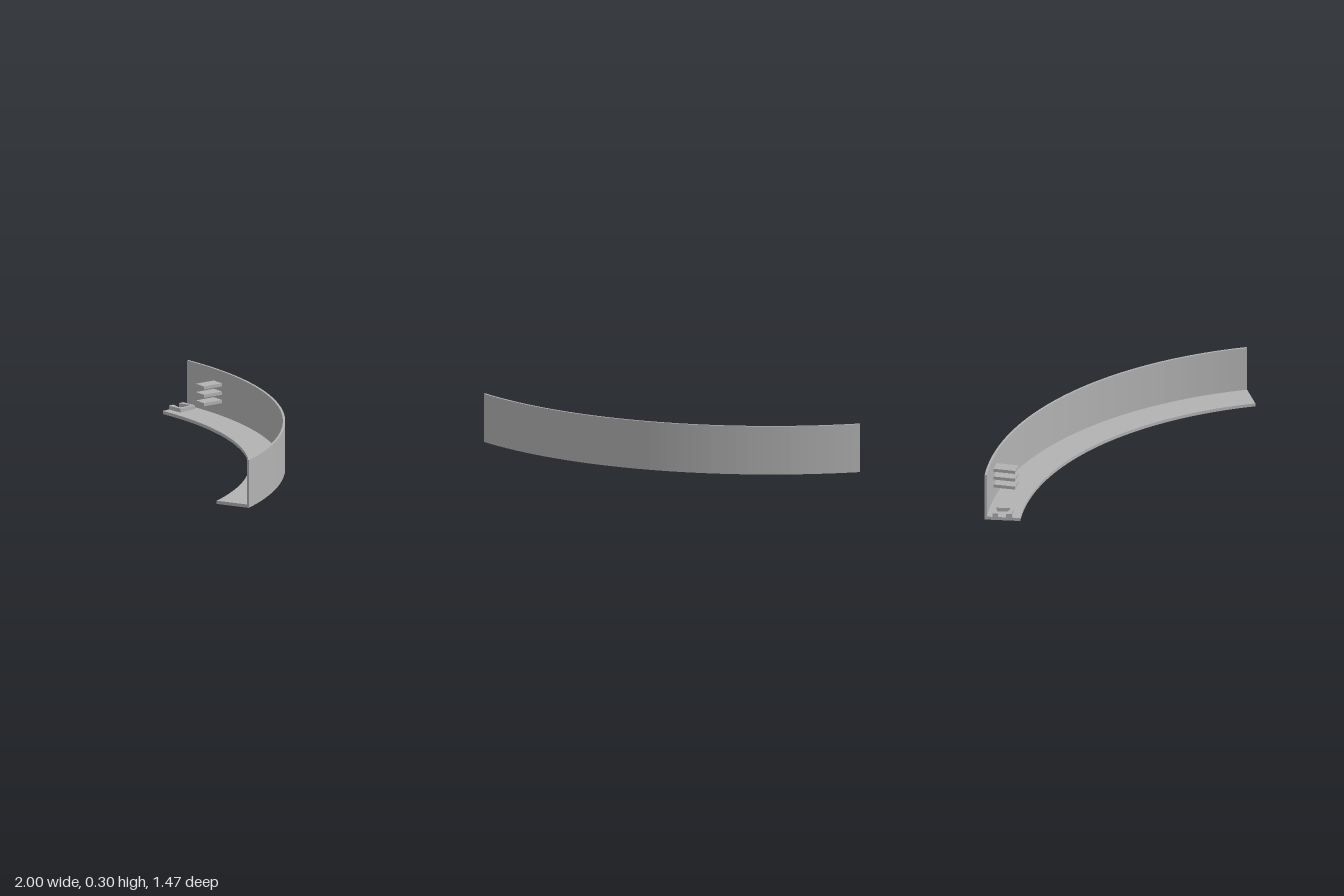
import * as THREE from 'three';

// Plan of the curve: arcs share one centre and sweep 70 degrees
const CX = -1, CZ = 1.3905, SWEEP = THREE.MathUtils.degToRad(70), SEGMENTS = 48;
const R_OUT = 2.128, R_WALL = 2.114, R_IN = 1.91;

const grey = new THREE.MeshStandardMaterial({ color: 0xb2b2b2 });
grey.name = 'plain grey';

// Point on the plan at a radius and angle measured from the back (-z) towards +x
const onArc = (r, a) => [CX + r * Math.sin(a), CZ - r * Math.cos(a)];

// Upright prism from a plan outline of [x, z] points
function prism(name, outline, y0, y1) {
  const shape = new THREE.Shape(outline.map(([x, z]) => new THREE.Vector2(x, -z)));
  const geo = new THREE.ExtrudeGeometry(shape, { depth: y1 - y0, bevelEnabled: false });
  geo.rotateX(-Math.PI / 2).translate(0, y0, 0);
  const mesh = new THREE.Mesh(geo, grey);
  mesh.name = name;
  return mesh;
}

// Outline of a curved band between two radii
function band(rIn, rOut) {
  const outer = [], inner = [];
  for (let i = 0; i <= SEGMENTS; i++) {
    const a = (SWEEP * i) / SEGMENTS;
    outer.push(onArc(rOut, a));
    inner.unshift(onArc(rIn, a));
  }
  return [...outer, ...inner];
}

export function createModel() {
  const model = new THREE.Group();
  model.name = 'curvedTrack';

  // Floor and outer wall
  model.add(prism('floor', band(R_IN, R_WALL), 0, 0.02));
  model.add(prism('wall', band(R_WALL, R_OUT), 0, 0.3));

  // Connector block with a dovetail slot open at the end
  model.add(prism('connector', [
    [-1, -0.69], [-0.896, -0.69], [-0.896, -0.57], [-1, -0.57],
    [-1, -0.607], [-0.917, -0.586], [-0.917, -0.676], [-1, -0.655],
  ], 0.02, 0.044));

  // Three stacked fins standing out radially from the wall
  const fins = new THREE.Group();
  fins.name = 'fins';
  const angle = THREE.MathUtils.degToRad(8);
  const [fx, fz] = onArc(2.0475, angle);
  for (const y of [0.11, 0.163, 0.215]) {
    const fin = new THREE.Mesh(new THREE.BoxGeometry(0.084, 0.02, 0.137), grey);
    fin.name = 'fin';
    fin.position.set(fx, y, fz);
    fin.rotation.y = -angle;
    fins.add(fin);
  }
  model.add(fins);
  return model;
}
